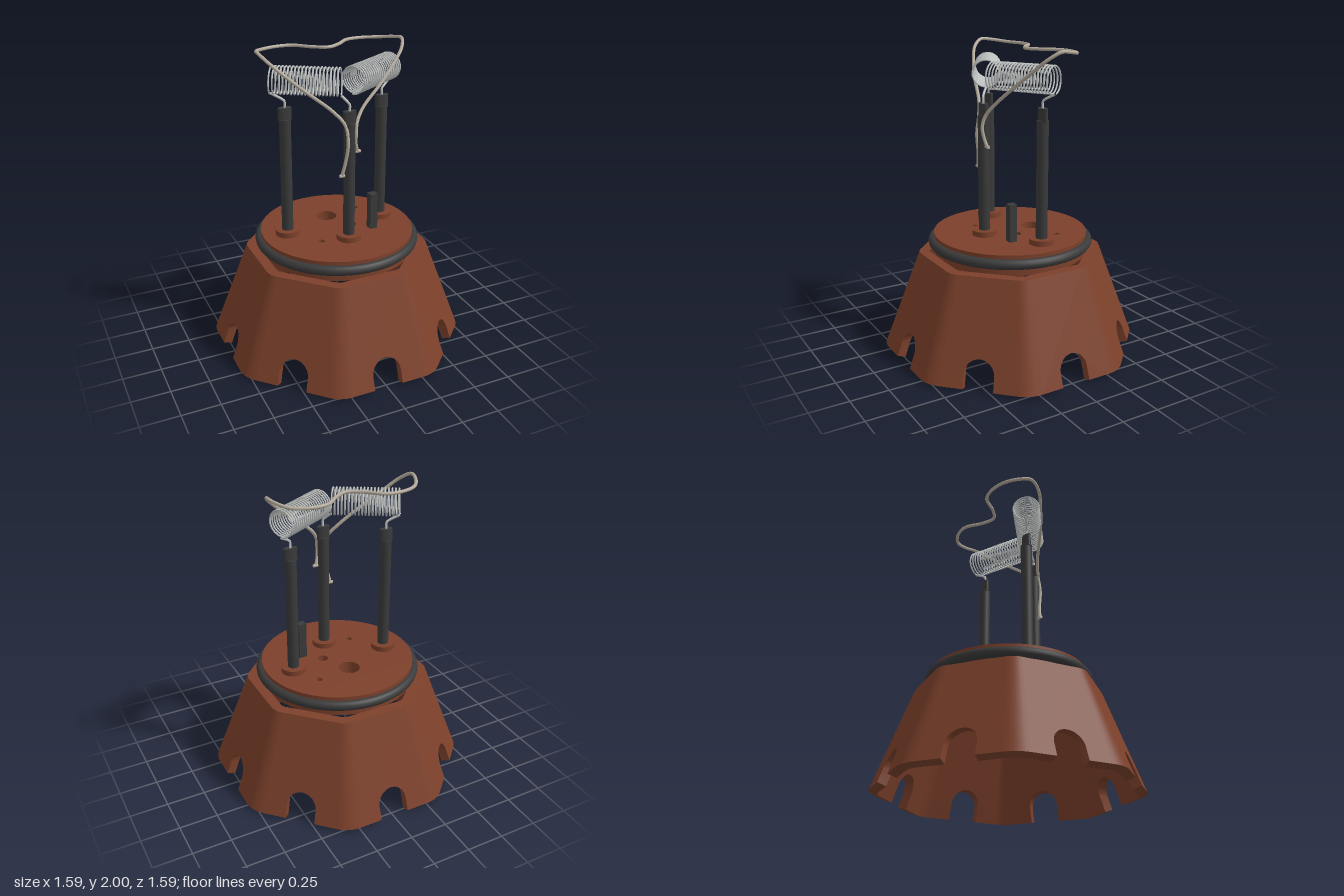
import * as THREE from 'three';
import { mergeGeometries, toCreasedNormals } from 'three/addons/utils/BufferGeometryUtils.js';

const mat = (name, color) => {
  const m = new THREE.MeshStandardMaterial({ color });
  m.name = name;
  return m;
};
const V = (x, y, z) => new THREE.Vector3(x, y, z);
const lerp = THREE.MathUtils.lerp;

export function createModel() {
  const clay = mat('terracotta', 0x7d412b);
  const dark = mat('darkRubber', 0x3a3a3a);
  const steel = mat('coilSteel', 0xc0c4c3);
  const wireMat = mat('loopWire', 0xb5ab9c);
  const root = new THREE.Group();
  root.name = 'heaterIgniter';

  const add = (name, geo, material, x = 0, y = 0, z = 0) => {
    const mesh = new THREE.Mesh(geo, material);
    mesh.name = name;
    mesh.position.set(x, y, z);
    root.add(mesh);
    return mesh;
  };
  const tube = (name, pts, r, material, segs = 24) =>
    add(name, new THREE.TubeGeometry(new THREE.CatmullRomCurve3(pts), segs, r, 8), material);

  // Skirt: hollow, flared octagon with rounded corners and an arched notch per side
  const top = 0.66, lip = 0.018, wBottom = 0.25, wTop = 0.185;
  const outerA = y => lerp(0.795, 0.565, (y - lip) / (top - lip));
  const innerA = y => lerp(0.74, 0.5, y / top);

  const panelShape = new THREE.Shape();
  panelShape.moveTo(-wBottom, lip);
  panelShape.lineTo(-0.097, lip);
  panelShape.lineTo(-0.097, 0.1);
  panelShape.absarc(0, 0.1, 0.097, Math.PI, 0, true);
  panelShape.lineTo(0.097, lip);
  panelShape.lineTo(wBottom, lip);
  panelShape.lineTo(wTop, top);
  panelShape.lineTo(-wTop, top);
  panelShape.closePath();
  let panel = new THREE.ExtrudeGeometry(panelShape, { depth: 1, bevelEnabled: false, curveSegments: 20 });
  const p = panel.attributes.position;
  for (let i = 0; i < p.count; i++) {
    const outer = p.getZ(i) > 0.5;
    let y = p.getY(i);
    if (!outer && y < lip + 0.001) y = 0;
    p.setXYZ(i, p.getX(i), y, outer ? outerA(y) : innerA(y));
  }
  panel.deleteAttribute('uv');
  panel = toCreasedNormals(panel, 0.5);

  // Rounded corner joining one panel to the next: [apothem, flat half width, height]
  const profile = [
    [outerA(lip), wBottom, lip], [outerA(top), wTop, top],
    [innerA(top), wTop, top], [innerA(0), wBottom, 0],
  ];
  const n = 8, verts = [];
  const cornerPoint = ([a, w, y], k) => {
    const r = (a * Math.tan(Math.PI / 8) - w) / Math.tan(Math.PI / 8);
    const t = (k / n) * Math.PI / 4;
    return [w + r * Math.sin(t), y, a - r + r * Math.cos(t)];
  };
  profile.forEach((lo, i) => {
    const hi = profile[(i + 1) % 4];
    for (let k = 0; k < n; k++) {
      const A = cornerPoint(lo, k), B = cornerPoint(lo, k + 1);
      const C = cornerPoint(hi, k + 1), D = cornerPoint(hi, k);
      verts.push(...A, ...B, ...C, ...A, ...C, ...D);
    }
  });
  let corner = new THREE.BufferGeometry();
  corner.setAttribute('position', new THREE.Float32BufferAttribute(verts, 3));
  corner.computeVertexNormals();
  corner = toCreasedNormals(corner, 0.5);

  const pieces = [];
  for (let i = 0; i < 8; i++)
    for (const g of [panel, corner]) pieces.push(g.clone().rotateY(i * Math.PI / 4));
  add('skirt', mergeGeometries(pieces), clay);

  // Round cap plate with sockets, its neck, and the sealing ring
  const plate = new THREE.Shape().absarc(0, 0, 0.503, 0, Math.PI * 2);
  for (const [x, z, r] of [[0, -0.17, 0.07], [0.238, -0.21, 0.02], [0.1, 0.015, 0.035], [-0.18, 0.165, 0.02]])
    plate.holes.push(new THREE.Path().absarc(x, -z, r, 0, Math.PI * 2, true));
  const plateGeo = new THREE.ExtrudeGeometry(plate, { depth: 0.085, bevelEnabled: false, curveSegments: 56 });
  plateGeo.rotateX(-Math.PI / 2);
  add('capPlate', toCreasedNormals(plateGeo, 0.5), clay, 0, 0.7, 0);
  add('capNeck', new THREE.CylinderGeometry(0.5, 0.5, 0.05, 56), clay, 0, 0.675, 0);
  add('sealRing', new THREE.TorusGeometry(0.508, 0.033, 14, 72).rotateX(Math.PI / 2), dark, 0, 0.728, 0);

  // Posts with base collars and flattened tips
  for (const [x, z] of [[-0.335, -0.032], [0, 0.193], [0.335, -0.032]]) {
    add('postCollar', new THREE.CylinderGeometry(0.08, 0.08, 0.037, 32), clay, x, 0.802, z);
    add('post', new THREE.CylinderGeometry(0.037, 0.037, 0.785, 24), dark, x, 1.1775, z);
    add('postTip', new THREE.CylinderGeometry(0.045, 0.045, 0.085, 24), dark, x, 1.6025, z).scale.z = 0.52;
  }
  add('squarePeg', new THREE.BoxGeometry(0.052, 0.26, 0.052), dark, 0.208, 0.9, 0.113);

  // Two spring coils set in a V, with their leads
  for (const s of [-1, 1]) {
    const a = V(s * 0.41, 1.82, -0.07), b = V(s * 0.038, 1.82, 0.153);
    const axis = b.clone().sub(a);
    const side = V(-axis.z, 0, axis.x).normalize();
    const turns = 20, per = 18, pts = [];
    for (let i = 0; i <= turns * per; i++) {
      const t = i / (turns * per), ang = t * turns * Math.PI * 2;
      pts.push(a.clone().addScaledVector(axis, t)
        .addScaledVector(side, 0.085 * Math.sin(ang))
        .add(V(0, -0.085 * Math.cos(ang), 0)));
    }
    add('springCoil', new THREE.TubeGeometry(new THREE.CatmullRomCurve3(pts), turns * per, 0.0055, 6), steel);
    tube('outerLead', [V(s * 0.335, 1.64, -0.032), V(s * 0.335, 1.685, -0.032),
      V(s * 0.35, 1.7, -0.037), V(s * 0.41, 1.735, -0.07)], 0.008, steel);
  }
  tube('centreLead', [V(0, 1.64, 0.193), V(0, 1.685, 0.193),
    V(-0.01, 1.7, 0.185), V(-0.038, 1.735, 0.153)], 0.008, steel);

  // Bent guard wire looping behind the coils
  const arm = s => [
    V(s * 0.1, 1.645, 0.17), V(s * 0.25, 1.77, 0.118), V(s * 0.36, 1.865, 0.065),
    V(s * 0.445, 1.945, 0.01), V(s * 0.483, 1.99, -0.06), V(s * 0.47, 1.985, -0.13),
    V(s * 0.41, 1.97, -0.22), V(s * 0.3, 1.967, -0.265), V(s * 0.19, 1.967, -0.255),
    V(s * 0.09, 1.967, -0.165),
  ];
  const leftEnd = [V(-0.055, 1.235, 0.205), V(-0.035, 1.33, 0.215), V(-0.025, 1.45, 0.228), V(-0.035, 1.56, 0.208)];
  const rightEnd = [V(0.045, 1.57, 0.205), V(0.032, 1.5, 0.22), V(0.037, 1.43, 0.21), V(0.052, 1.38, 0.198)];
  tube('guardWire', [...leftEnd, ...arm(-1), V(0, 1.967, -0.118), ...arm(1).reverse(), ...rightEnd],
    0.011, wireMat, 220);
  for (const [x, y, z] of [[-0.055, 1.232, 0.205], [0.055, 1.378, 0.198]])
    add('wireFoot', new THREE.CylinderGeometry(0.011, 0.011, 0.034, 12).rotateZ(Math.PI / 2), wireMat, x, y, z);

  return root;
}
